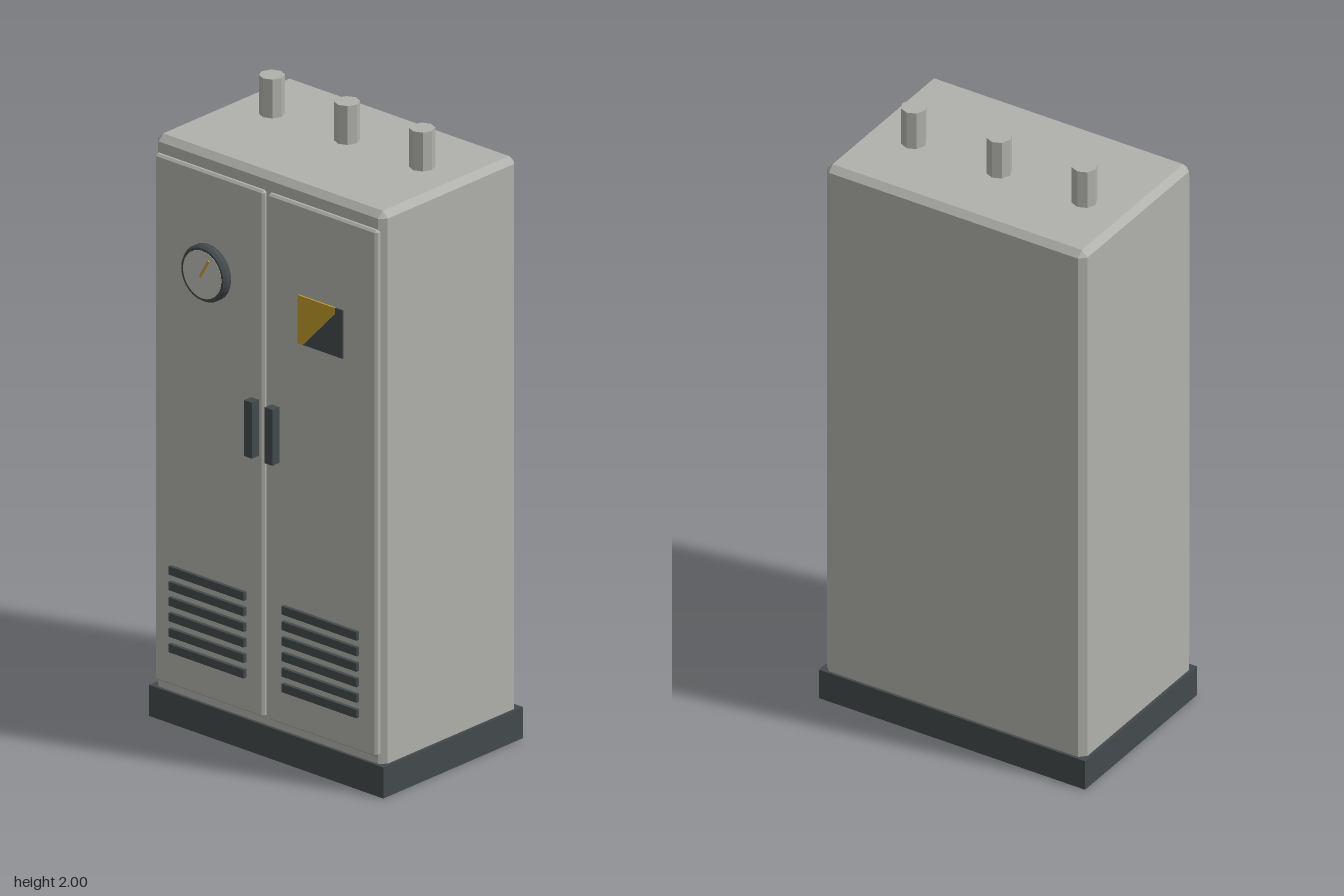
import * as THREE from 'three';
import { ConvexGeometry } from 'three/addons/geometries/ConvexGeometry.js';

const material = (name, color) => {
  const m = new THREE.MeshStandardMaterial({ color });
  m.name = name;
  return m;
};

// Box between two corners with every edge chamfered by c
function chamferBox(min, max, c) {
  const size = max.map((v, i) => v - min[i]);
  const mid = max.map((v, i) => (v + min[i]) / 2);
  const points = [];
  for (const sx of [-1, 1]) for (const sy of [-1, 1]) for (const sz of [-1, 1]) {
    const s = [sx, sy, sz];
    for (let full = 0; full < 3; full++) {
      points.push(new THREE.Vector3(...s.map((v, i) =>
        mid[i] + v * (size[i] / 2 - (i === full ? 0 : c)))));
    }
  }
  return new ConvexGeometry(points);
}

// Plain box between two corners
function box(min, max) {
  return new THREE.BoxGeometry(...max.map((v, i) => v - min[i]))
    .translate(...max.map((v, i) => (v + min[i]) / 2));
}

export function createModel() {
  const group = new THREE.Group();
  group.name = 'electricalCabinet';
  const grey = material('cabinetGrey', 0xb0b0ac);
  const dark = material('darkGrey', 0x434a4c);
  const dial = material('dialGrey', 0xbcbdb8);
  const yellow = material('warningYellow', 0xbf9929);

  const add = (name, geometry, mat) => {
    const mesh = new THREE.Mesh(geometry, mat);
    mesh.name = name;
    group.add(mesh);
    return mesh;
  };

  // Plinth and cabinet body
  add('plinth', box([-0.468, 0, -0.33], [0.468, 0.1, 0.288]), dark);
  add('body', chamferBox([-0.458, 0.08, -0.321], [0.458, 1.875, 0.278], 0.02), grey);

  // Each side has a door, a handle and a louvre of six slats
  for (const [side, s] of [['right', -1], ['left', 1]]) {
    const span = (a, b) => [Math.min(a * s, b * s), Math.max(a * s, b * s)];
    const [d0, d1] = span(0.007, 0.443);
    add(side + 'Door', chamferBox([d0, 0.125, 0.267], [d1, 1.82, 0.292], 0.007), grey);

    const [h0, h1] = span(0.025, 0.056);
    add(side + 'Handle', box([h0, 0.965, 0.285], [h1, 1.145, 0.323]), dark);

    const [v0, v1] = span(0.075, 0.375);
    for (let i = 0; i < 6; i++) {
      const y = 0.25 + i * 0.05;
      add(side + 'VentSlat', box([v0, y - 0.0135, 0.285], [v1, y + 0.0135, 0.304]), dark);
    }
  }

  // Gauge: bevelled dark housing, dial and needle
  const profile = [[0.09, 0], [0.09, 0.024], [0.084, 0.034], [0.076, 0.034], [0.076, 0.02]]
    .map(([r, h]) => new THREE.Vector2(r, h));
  const housing = new THREE.LatheGeometry(profile, 28).toNonIndexed();
  housing.computeVertexNormals();
  add('gaugeHousing', housing.rotateX(Math.PI / 2), dark).position.set(-0.226, 1.5, 0.286);
  add('gaugeDial', new THREE.CylinderGeometry(0.0765, 0.0765, 0.03, 28).rotateX(Math.PI / 2), dial)
    .position.set(-0.226, 1.5, 0.306);
  const needle = add('gaugeNeedle', new THREE.BoxGeometry(0.007, 0.069, 0.005), yellow);
  needle.position.set(-0.215, 1.522, 0.3225);
  needle.rotation.z = -0.53;

  // Warning plate split diagonally into two colours
  const plate = (name, corners, mat) => {
    const shape = new THREE.Shape(corners.map(([x, y]) => new THREE.Vector2(x, y)));
    const geometry = new THREE.ExtrudeGeometry(shape, { depth: 0.008, bevelEnabled: false });
    add(name, geometry, mat).position.z = 0.29;
  };
  plate('warningPlateYellow',
    [[0.134, 1.375], [0.156, 1.375], [0.283, 1.51], [0.283, 1.53], [0.134, 1.53]], yellow);
  plate('warningPlateDark',
    [[0.156, 1.375], [0.313, 1.375], [0.313, 1.53], [0.283, 1.53], [0.283, 1.51]], dark);

  // Three octagonal conduits on the roof
  for (const x of [-0.3, 0, 0.3]) {
    const pipe = new THREE.CylinderGeometry(0.039, 0.039, 0.14, 8).toNonIndexed();
    pipe.computeVertexNormals();
    add('roofConduit', pipe, grey).position.set(x, 1.93, -0.07);
  }
  return group;
}
